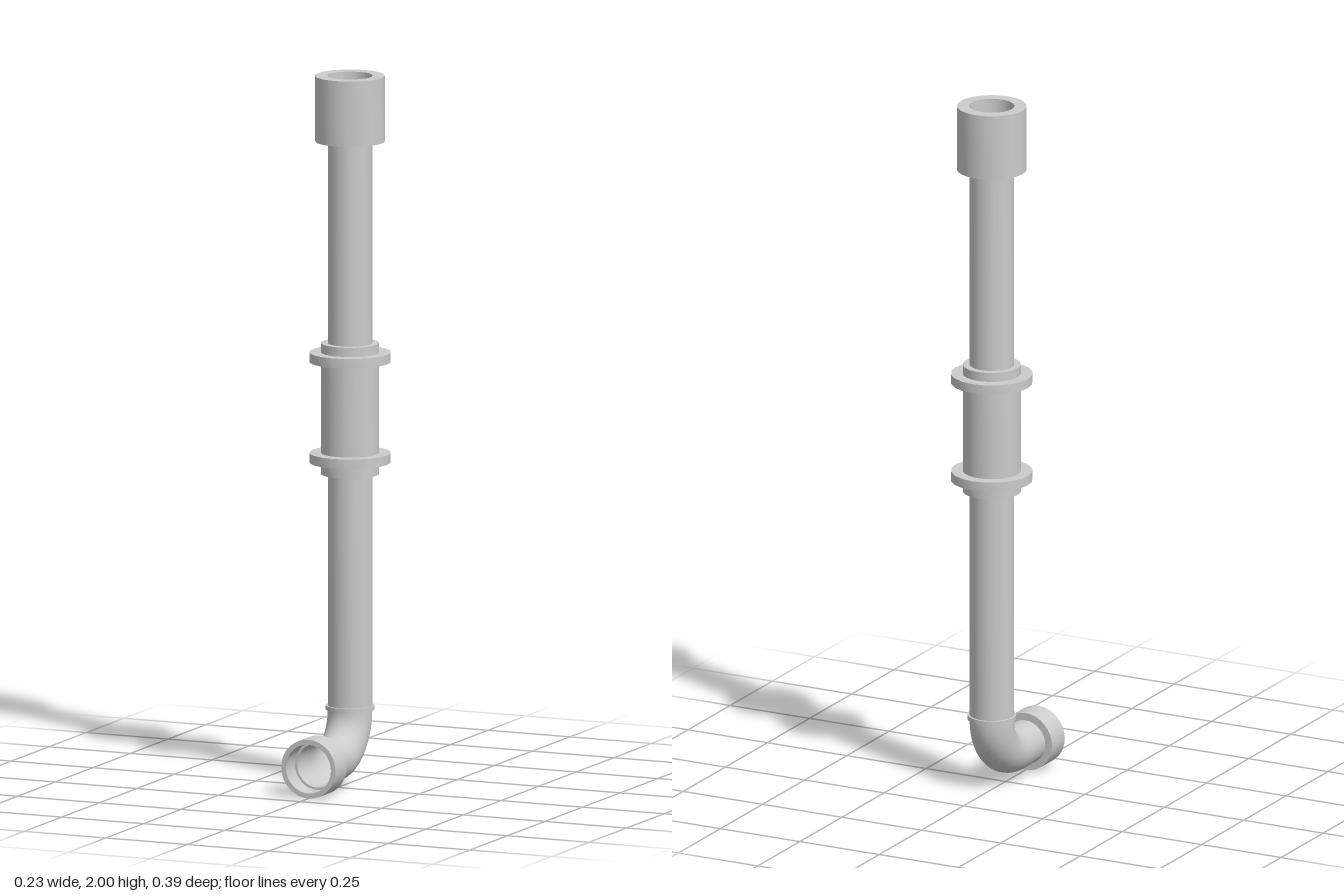
import * as THREE from 'three';
import { toCreasedNormals } from 'three/addons/utils/BufferGeometryUtils.js';

const AXIS_Z = -0.082;   // upright pipe axis
const OUTLET_Y = 0.085;  // outlet axis height
const BEND = 0.125;      // elbow radius
const R = 0.062;         // pipe radius

const material = new THREE.MeshStandardMaterial({ color: 0xcccccc, side: THREE.DoubleSide });

// Turned part from [radius, height] pairs, sharp at its corners
function turned(name, profile, sides = 32) {
  const points = profile.map(([r, y]) => new THREE.Vector2(r, y));
  const geometry = toCreasedNormals(new THREE.LatheGeometry(points, sides), 0.6);
  const mesh = new THREE.Mesh(geometry, material);
  mesh.name = name;
  return mesh;
}

// Closed ring with a rectangular section
function ring(name, inner, outer, y0, y1, sides) {
  return turned(name, [[inner, y0], [outer, y0], [outer, y1], [inner, y1], [inner, y0]], sides);
}

// Quarter circle from the upright pipe to the outlet
class ElbowCurve extends THREE.Curve {
  getPoint(t, target = new THREE.Vector3()) {
    const a = t * Math.PI / 2;
    return target.set(0, OUTLET_Y + BEND * (1 - Math.sin(a)), AXIS_Z + BEND * (1 - Math.cos(a)));
  }
}

export function createModel() {
  const model = new THREE.Group();
  model.name = 'drainPipe';

  // Upright hollow pipe and everything threaded on it
  const upright = new THREE.Group();
  upright.name = 'upright';
  upright.position.z = AXIS_Z;
  upright.add(
    turned('pipe', [[R, OUTLET_Y + BEND], [R, 1.995]]),
    ring('topSocket', R + 0.001, 0.097, 1.815, 2.0),
    ring('sleeve', R, 0.081, 0.875, 1.245),
    ring('elbowCollar', R, 0.068, 0.21, 0.222),
  );
  for (const [name, y] of [['lowerFlange', 0.908], ['upperFlange', 1.192]]) {
    upright.add(ring(name, 0.08, 0.114, y, y + 0.027, 20));
  }
  model.add(upright);

  // Bend at the foot
  const elbow = new THREE.Mesh(new THREE.TubeGeometry(new ElbowCurve(), 16, R, 32), material);
  elbow.name = 'elbow';
  model.add(elbow);

  // Outlet pointing forward: short pipe and stepped socket
  const outlet = new THREE.Group();
  outlet.name = 'outlet';
  outlet.position.y = OUTLET_Y;
  outlet.rotation.x = Math.PI / 2;
  outlet.add(
    turned('outletPipe', [[R, AXIS_Z + BEND], [R, 0.13]]),
    turned('outletSocket', [
      [R, 0.119], [0.083, 0.119], [0.083, 0.195], [0.069, 0.195], [0.069, 0.135], [R, 0.135], [R, 0.119],
    ]),
  );
  model.add(outlet);

  return model;
}
